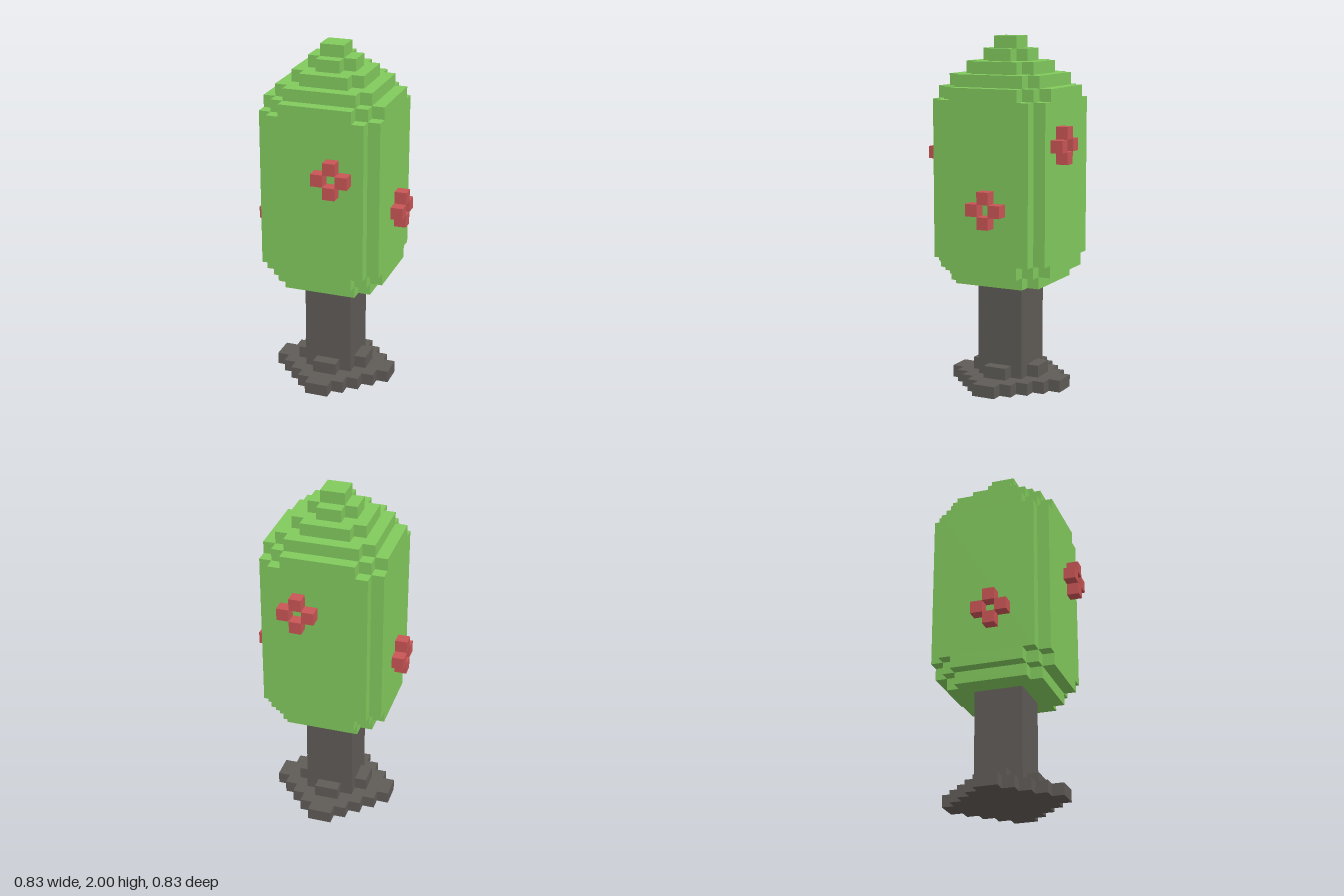
import * as THREE from 'three';

const U = 2 / 29; // one block

export function createModel() {
  const material = (name, color) => {
    const m = new THREE.MeshStandardMaterial({ color });
    m.name = name;
    return m;
  };
  const leafGreen = material('leafGreen', 0x82ca5d);
  const barkGrey = material('barkGrey', 0x5f5b57);
  const flowerRed = material('flowerRed', 0xc95555);

  const model = new THREE.Group();
  model.name = 'blockTree';

  // Stepped slab: steps lists the outer corners of one quadrant, repeated by quarter turns
  function slab(parent, name, mat, steps, from, to) {
    const quadrant = [];
    steps.forEach(([x, z], i) => {
      if (i > 0) quadrant.push([x, steps[i - 1][1]]);
      quadrant.push([x, z]);
    });
    const points = [];
    let turned = quadrant;
    for (let k = 0; k < 4; k++) {
      turned.forEach(([x, z]) => points.push(new THREE.Vector2(x * U, z * U)));
      turned = turned.map(([x, z]) => [-z, x]);
    }
    const geometry = new THREE.ExtrudeGeometry(new THREE.Shape(points), {
      depth: (to - from) * U, bevelEnabled: false,
    });
    geometry.rotateX(-Math.PI / 2);
    const mesh = new THREE.Mesh(geometry, mat);
    mesh.name = name;
    mesh.position.y = from * U;
    parent.add(mesh);
  }

  // Roots and trunk
  slab(model, 'rootSpread', barkGrey, [[5, 1], [4, 2], [3, 3], [2, 4], [1, 5]], 0, 1);
  slab(model, 'rootCollar', barkGrey, [[3, 1], [2, 2], [1, 3]], 1, 2);
  slab(model, 'trunk', barkGrey, [[2, 2]], 2, 9);

  // Leaf crown, bottom to top
  const crown = new THREE.Group();
  crown.name = 'crown';
  model.add(crown);
  const rim = [[5, 3], [4, 4], [3, 5]];
  const tier = (n) => [[n, n - 1], [n - 1, n]];
  slab(crown, 'crownBase', leafGreen, tier(4), 9, 10);
  slab(crown, 'lowerRim', leafGreen, rim, 10, 11);
  slab(crown, 'crownBody', leafGreen, tier(5), 11, 24);
  slab(crown, 'upperRim', leafGreen, rim, 24, 25);
  for (let n = 4; n > 1; n--) slab(crown, 'crownTier', leafGreen, tier(n), 29 - n, 30 - n);
  slab(crown, 'crownTip', leafGreen, [[1, 1]], 28, 29);

  // Four-petal flowers, one per side: [name, turn, sideways offset, height]
  const petal = new THREE.BoxGeometry(U, U, U);
  const flowers = [
    ['frontFlower', 0, 1.5, 19.5],
    ['leftFlower', 1, 0.5, 15.5],
    ['backFlower', 2, -1.5, 20.5],
    ['rightFlower', 3, 0.5, 14.5],
  ];
  for (const [name, turn, side, height] of flowers) {
    const flower = new THREE.Group();
    flower.name = name;
    flower.rotation.y = turn * Math.PI / 2;
    for (const [dx, dy] of [[1, 0], [-1, 0], [0, 1], [0, -1]]) {
      const mesh = new THREE.Mesh(petal, flowerRed);
      mesh.name = 'petal';
      mesh.position.set((side + dx) * U, (height + dy) * U, 5.5 * U);
      flower.add(mesh);
    }
    model.add(flower);
  }
  return model;
}
